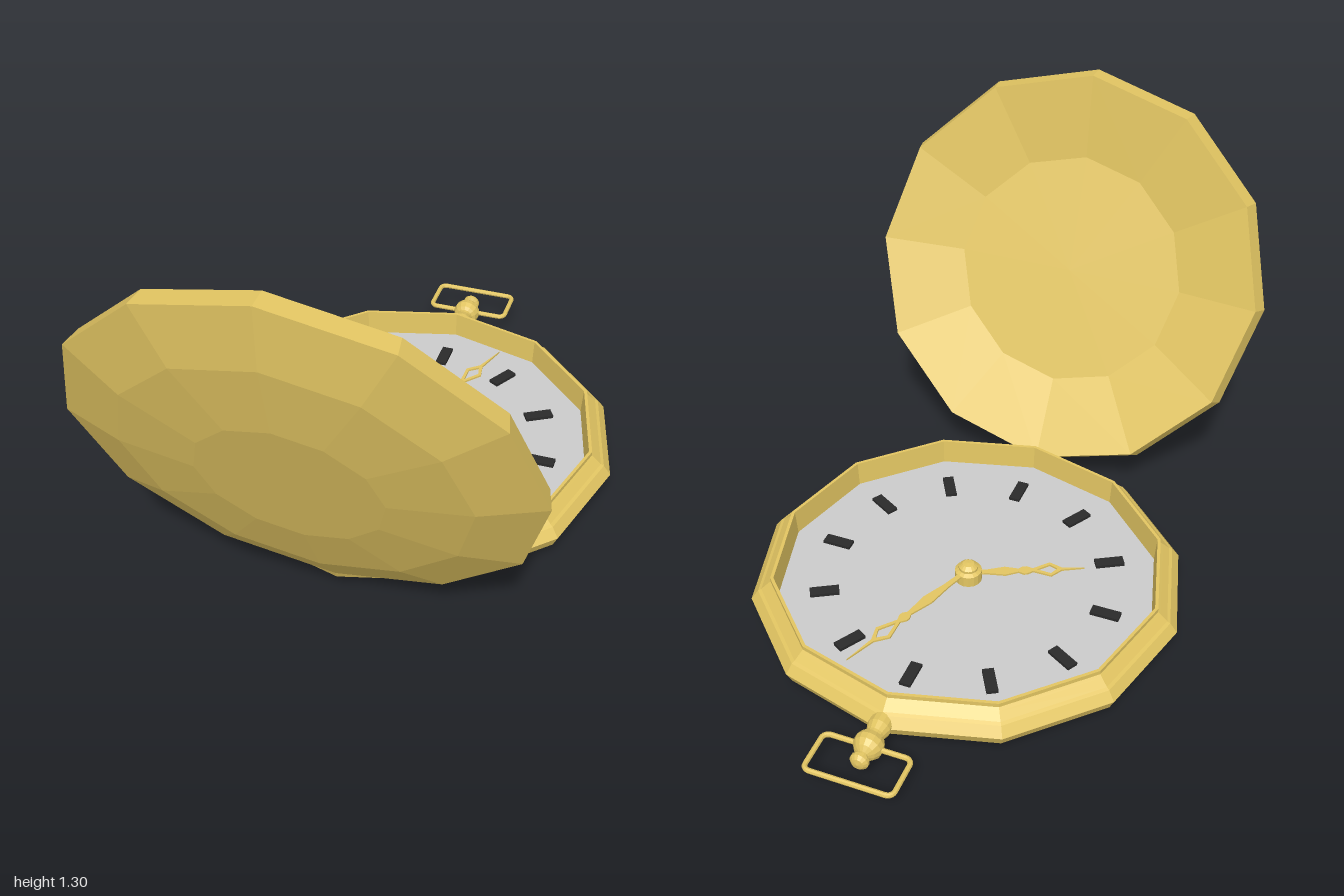
import * as THREE from 'three';

const gold = new THREE.MeshStandardMaterial({ color: 0xe2c562, flatShading: true });
const grey = new THREE.MeshStandardMaterial({ color: 0xcccccc });
const dark = new THREE.MeshStandardMaterial({ color: 0x2a2a2a });

const CENTRE_Z = -0.12;
const MID_Y = 0.085;

function lathe(points, sides) {
  return new THREE.LatheGeometry(points.map(([r, y]) => new THREE.Vector2(r, y)), sides);
}

function add(parent, name, geometry, material, x = 0, y = 0, z = 0) {
  const mesh = new THREE.Mesh(geometry, material);
  mesh.name = name;
  mesh.position.set(x, y, z);
  parent.add(mesh);
  return mesh;
}

function polygon(points, Type = THREE.Shape) {
  return new Type(points.map(([x, y]) => new THREE.Vector2(x, y)));
}

// Hand along +y: leaf, small collar, open diamond and thin tip
function handGeometry(collar, diamondEnd, tip) {
  const start = collar + 0.025;
  const wide = start + (diamondEnd - start) * 0.6;
  const right = [
    [0.007, 0], [0.009, collar * 0.35], [0.018, collar * 0.65], [0.007, collar - 0.02],
    [0.016, collar - 0.005], [0.016, collar + 0.007], [0.006, start],
    [0.03, wide], [0.005, diamondEnd],
  ];
  const left = right.map(([x, y]) => [-x, y]).reverse();
  const shape = polygon([...right, [0, tip], ...left]);
  shape.holes.push(polygon([
    [0, start + 0.012], [-0.019, wide], [0, diamondEnd - 0.014], [0.019, wide],
  ], THREE.Path));
  const geometry = new THREE.ExtrudeGeometry(shape, { depth: 0.006, bevelEnabled: false });
  return geometry.rotateX(-Math.PI / 2);
}

// Rounded rectangle ring lying flat
function bowGeometry(x, z0, z1, r) {
  const s = new THREE.Path();
  s.moveTo(-x + r, z0);
  s.lineTo(x - r, z0);
  s.absarc(x - r, z0 + r, r, -Math.PI / 2, 0);
  s.lineTo(x, z1 - r);
  s.absarc(x - r, z1 - r, r, 0, Math.PI / 2);
  s.lineTo(-x + r, z1);
  s.absarc(-x + r, z1 - r, r, Math.PI / 2, Math.PI);
  s.lineTo(-x, z0 + r);
  s.absarc(-x + r, z0 + r, r, Math.PI, Math.PI * 1.5);
  const points = s.getSpacedPoints(80).slice(0, -1).map((p) => new THREE.Vector3(p.x, 0, p.y));
  return new THREE.TubeGeometry(new THREE.CatmullRomCurve3(points, true), 120, 0.008, 8, true);
}

export function createModel() {
  const watch = new THREE.Group();
  watch.name = 'pocketWatch';

  // Twelve-sided case with a stepped bezel
  add(watch, 'case', lathe([
    [0, 0], [0.467, 0], [0.65, 0.05], [0.667, 0.085], [0.645, 0.115], [0.635, 0.12],
    [0.613, 0.14], [0.605, 0.147], [0.605, 0.16], [0.595, 0.16], [0.588, 0.075],
  ], 12), gold, 0, 0, CENTRE_Z);

  // Dial
  const dial = new THREE.Group();
  dial.name = 'dial';
  dial.position.set(0, 0.08, CENTRE_Z);
  watch.add(dial);
  add(dial, 'dialPlate', new THREE.CylinderGeometry(0.59, 0.59, 0.01, 12), grey, 0, -0.005, 0);

  // Plain hour marks
  for (let i = 0; i < 12; i++) {
    const a = (i * Math.PI) / 6;
    const mark = add(dial, 'hourMark', new THREE.BoxGeometry(0.035, 0.01, 0.09), dark,
      0.445 * Math.sin(a), 0.005, -0.445 * Math.cos(a));
    mark.rotation.y = -a;
  }

  // Hands and hub
  const hourHand = add(dial, 'hourHand', handGeometry(0.175, 0.29, 0.36), gold, 0, 0.018, 0);
  hourHand.rotation.y = Math.atan2(0.325, -0.15);
  const minuteHand = add(dial, 'minuteHand', handGeometry(0.28, 0.415, 0.52), gold, 0, 0.03, 0);
  minuteHand.rotation.y = Math.atan2(-0.185, 0.49);
  add(dial, 'handHub', lathe([
    [0, 0], [0.042, 0], [0.042, 0.035], [0.03, 0.042], [0.03, 0.05], [0.018, 0.06], [0, 0.062],
  ], 16), gold);

  // Open lid: hollow inside, faceted dome outside
  const lid = add(watch, 'lid', lathe([
    [0, 0.065], [0.375, 0.065], [0.638, 0], [0.656, 0.058],
    [0.48, 0.117], [0.258, 0.145], [0, 0.145],
  ], 12), gold, 0, 0.705, 0.72);
  lid.rotation.x = THREE.MathUtils.degToRad(111);

  // Hinge
  const hinge = add(watch, 'hinge', new THREE.CylinderGeometry(0.018, 0.018, 0.1, 10), gold, 0, 0.09, 0.525);
  hinge.rotation.z = Math.PI / 2;

  // Neck, ball and winding knob
  const crown = add(watch, 'crown', lathe([
    [0, 0], [0.035, 0], [0.035, 0.03], [0.027, 0.055], [0.027, 0.065], [0.038, 0.072],
    [0.045, 0.09], [0.043, 0.108], [0.032, 0.125], [0.016, 0.135], [0.016, 0.145],
    [0.028, 0.15], [0.028, 0.16], [0.018, 0.17], [0, 0.174],
  ], 14), gold, 0, MID_Y, -0.755);
  crown.rotation.x = -Math.PI / 2;

  // Bow
  add(watch, 'bow', bowGeometry(0.133, -0.992, -0.855, 0.02), gold, 0, MID_Y, 0);

  return watch;
}
